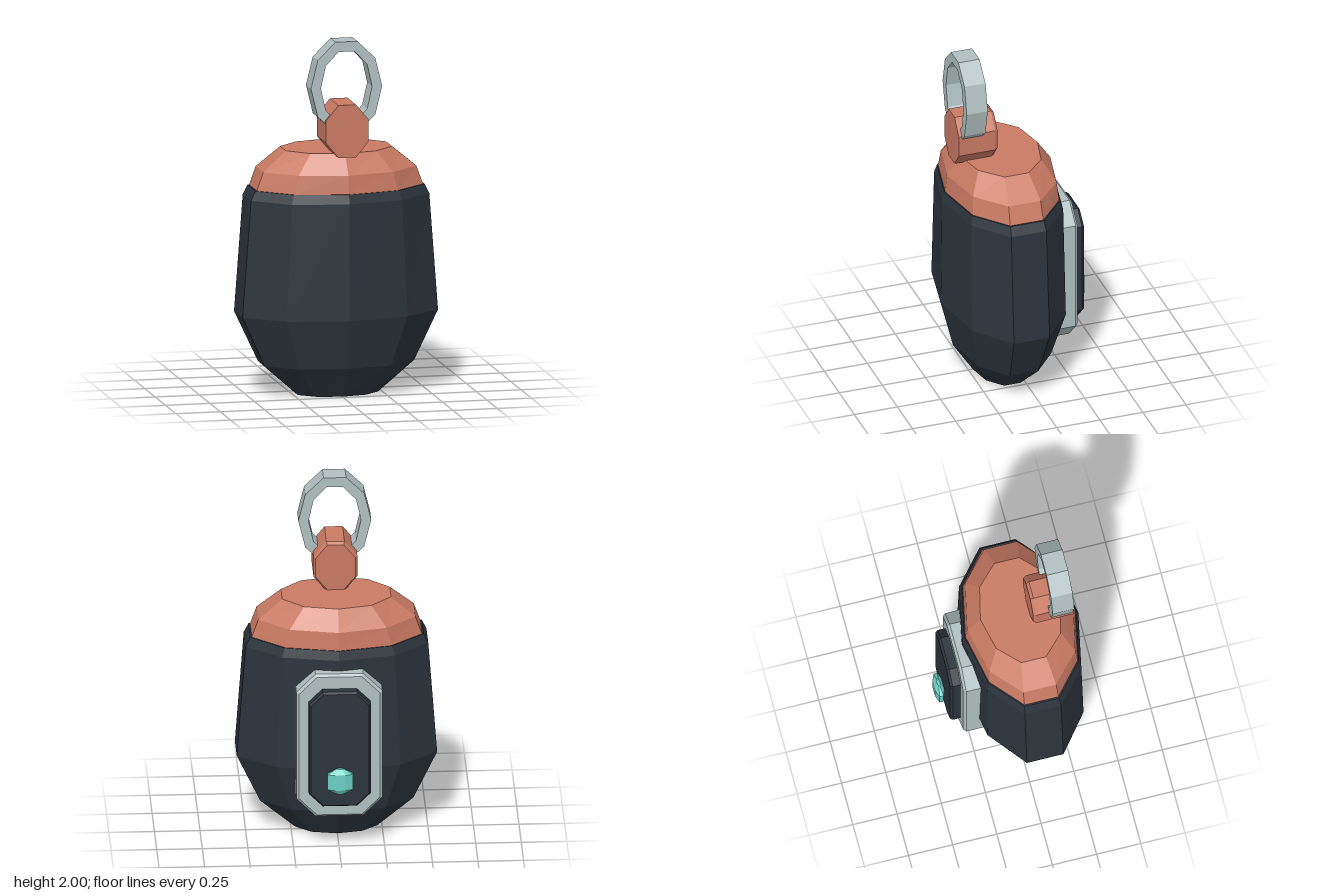
import * as THREE from 'three';

const mat = (name, color) => {
  const m = new THREE.MeshStandardMaterial({ color });
  m.name = name;
  return m;
};

// Corners of an elliptical polygon; phase turns it, in radians
const polygon = (n, rx, ry, phase = 0) => Array.from({ length: n }, (_, i) => {
  const a = phase + (i / n) * Math.PI * 2;
  return [rx * Math.cos(a), ry * Math.sin(a)];
});

// Rectangle with cut corners
const cutRect = (w, h, cx, cy) => [
  [w, -h + cy], [w, h - cy], [w - cx, h], [-w + cx, h],
  [-w, h - cy], [-w, -h + cy], [-w + cx, -h], [w - cx, -h],
];

// Joins rings of corners into a closed, faceted solid with flat ends
function loft(rings) {
  const pos = [];
  const n = rings[0].length;
  const tri = (a, b, c) => pos.push(...a, ...b, ...c);
  for (let r = 0; r < rings.length - 1; r++) {
    for (let i = 0; i < n; i++) {
      const j = (i + 1) % n;
      const [a, b] = [rings[r], rings[r + 1]];
      tri(a[i], a[j], b[j]);
      tri(a[i], b[j], b[i]);
    }
  }
  const first = rings[0], last = rings[rings.length - 1];
  for (let i = 1; i < n - 1; i++) {
    tri(first[0], first[i + 1], first[i]);
    tri(last[0], last[i], last[i + 1]);
  }
  const geo = new THREE.BufferGeometry();
  geo.setAttribute('position', new THREE.Float32BufferAttribute(pos, 3));
  geo.computeVertexNormals();
  return geo;
}

// Upright solid from [y, rx, rz] levels (corners run so that faces point outward)
const upright = (n, phase, levels, cy, cz) => loft(levels.map(([y, rx, rz]) =>
  polygon(n, rx, rz, phase).map(([x, z]) => [x, y + cy, cz - z])));

// Solid stacked along z, given from back to front as [z, outline]
const alongZ = (cy, levels) => loft(levels.map(([z, outline]) =>
  outline.map(([x, y]) => [x, y + cy, z])));

export function createModel() {
  const dark = mat('dark shell', 0x2b333b);
  const copper = mat('copper', 0xc97a63);
  const steel = mat('pale steel', 0xb1c0c1);
  const teal = mat('teal', 0x6bd0c3);

  const group = new THREE.Group();
  const add = (name, geo, material) => {
    const mesh = new THREE.Mesh(geo, material);
    mesh.name = name;
    group.add(mesh);
  };

  const midZ = 0.075;
  const turn = Math.PI / 2;

  // Ten-sided oval body and its domed cap
  add('body', upright(10, turn, [
    [0, 0.237, 0.15], [0.175, 0.442, 0.265], [0.455, 0.578, 0.335],
    [1.105, 0.527, 0.329], [1.157, 0.5, 0.315],
  ], 0, midZ), dark);
  add('cap', upright(10, turn, [
    [1.13, 0.492, 0.31], [1.16, 0.49, 0.31], [1.26, 0.453, 0.3], [1.37, 0.314, 0.225],
  ], 0, midZ), copper);

  // Octagonal lug with a bevelled back edge
  const octagon = (s) => polygon(8, 0.13 * s, 0.159 * s, Math.PI / 8);
  add('lug', alongZ(1.503, [
    [0.12, octagon(0.91)], [0.137, octagon(1)], [0.348, octagon(1)],
  ]), copper);

  // Hanging ring
  const ring = new THREE.Shape(polygon(10, 0.2, 0.268).map((p) => new THREE.Vector2(...p)));
  ring.holes.push(new THREE.Path(polygon(10, 0.144, 0.21).reverse().map((p) => new THREE.Vector2(...p))));
  const ringGeo = new THREE.ExtrudeGeometry(ring, { depth: 0.122, bevelEnabled: false });
  ringGeo.translate(0, 1.745, 0.208);
  add('hangingRing', ringGeo, steel);

  // Back frame and the raised panel on it
  add('backFrame', alongZ(0.622, [
    [-0.305, cutRect(0.223, 0.41, 0.1, 0.1)],
    [-0.29, cutRect(0.236, 0.423, 0.105, 0.105)],
    [-0.172, cutRect(0.236, 0.423, 0.105, 0.105)],
  ]), steel);
  add('backPanel', alongZ(0.622, [
    [-0.364, cutRect(0.16, 0.33, 0.07, 0.07)],
    [-0.35, cutRect(0.17, 0.34, 0.075, 0.075)],
    [-0.29, cutRect(0.17, 0.34, 0.075, 0.075)],
  ]), dark);

  // Faceted button
  add('button', upright(8, Math.PI / 8, [
    [-0.075, 0.022, 0.009], [-0.045, 0.075, 0.029],
    [0.045, 0.075, 0.029], [0.075, 0.022, 0.009],
  ], 0.445, -0.387), teal);

  return group;
}
